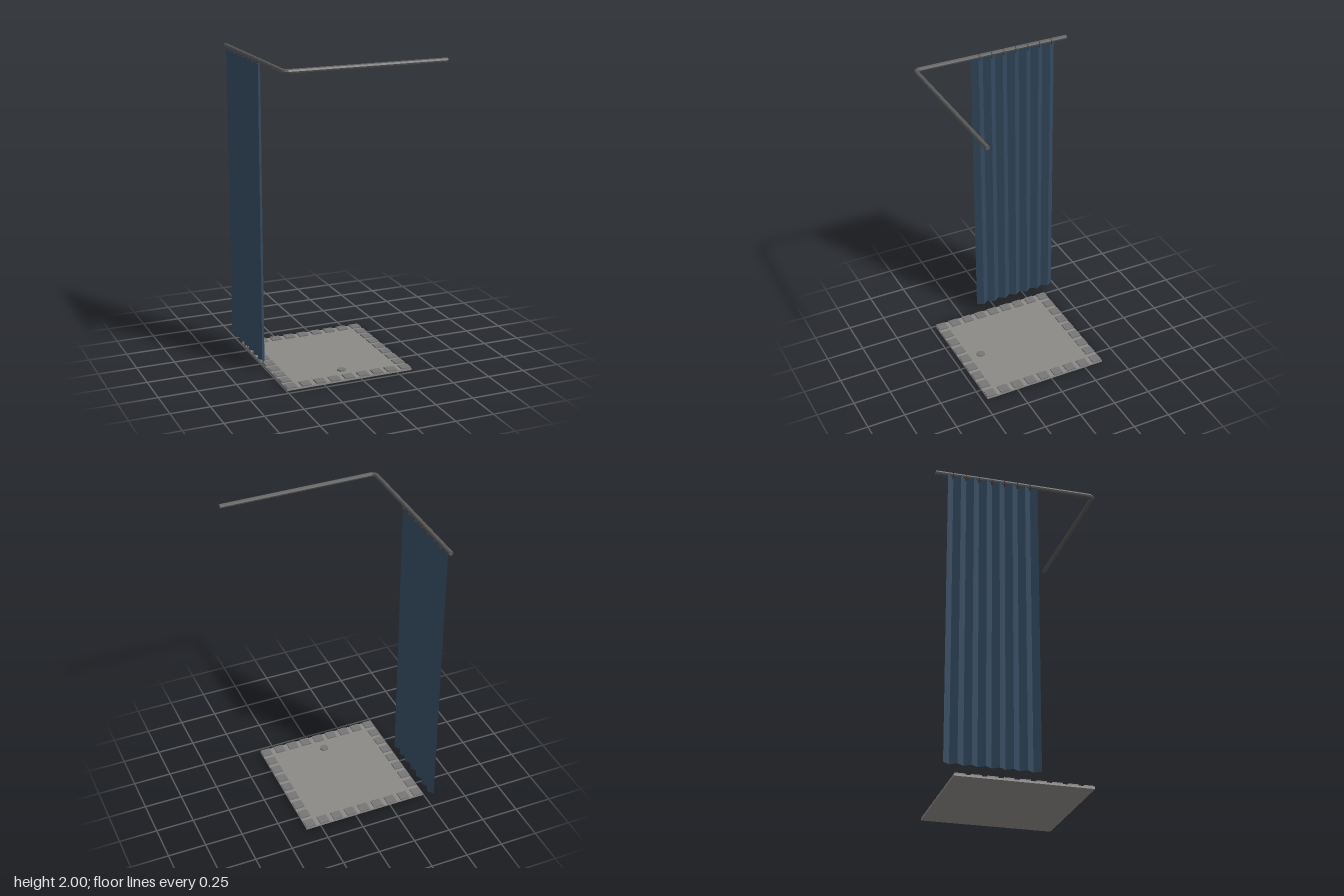
import * as THREE from 'three';

const mat = (color, opts = {}) => new THREE.MeshStandardMaterial({ color, flatShading: true, ...opts });

export function createModel() {
  const model = new THREE.Group();
  const trayMat = mat(0x8c8a87);
  const tileMat = mat(0x767676);
  const rodMat = mat(0x5a5a5a);
  const ringMat = mat(0x4a3c38);
  const curtainMat = mat(0x34495e, { side: THREE.DoubleSide });

  const add = (name, geometry, material, x = 0, y = 0, z = 0, parent = model) => {
    const mesh = new THREE.Mesh(geometry, material);
    mesh.name = name;
    mesh.position.set(x, y, z);
    parent.add(mesh);
    return mesh;
  };

  // Square shower tray
  const cx = -0.072, cz = 0.043, size = 0.845;
  add('tray', new THREE.BoxGeometry(size, 0.012, size), trayMat, cx, 0.006, cz);

  // Border of raised tiles, nine along each side
  const tiles = new THREE.Group();
  tiles.name = 'borderTiles';
  model.add(tiles);
  const tileGeo = new THREE.BoxGeometry(0.065, 0.012, 0.065);
  const step = 0.097;
  for (let i = -4; i <= 4; i++) {
    for (let j = -4; j <= 4; j++) {
      if (Math.max(Math.abs(i), Math.abs(j)) < 4) continue;
      add('borderTile', tileGeo, tileMat, cx + i * step, 0.014, cz + j * step, tiles);
    }
  }

  // Hexagonal drain
  const drain = add('drain', new THREE.CylinderGeometry(0.03, 0.03, 0.012, 6), tileMat, -0.071, 0.014, 0.318);
  drain.rotation.y = Math.PI / 6 + Math.PI / 3;

  // L-shaped curtain rod with a small bend at the corner
  const rodX = -0.513, rodZ = 0.513, rodY = 1.985, rodR = 0.0145, bend = 0.035;
  const p = (x, z) => new THREE.Vector3(x, rodY, z);
  const path = new THREE.CurvePath();
  path.add(new THREE.LineCurve3(p(rodX, -0.53), p(rodX, rodZ - bend)));
  path.add(new THREE.QuadraticBezierCurve3(p(rodX, rodZ - bend), p(rodX, rodZ), p(rodX + bend, rodZ)));
  path.add(new THREE.LineCurve3(p(rodX + bend, rodZ), p(0.53, rodZ)));
  add('curtainRod', new THREE.TubeGeometry(path, 120, rodR, 8, false), rodMat);
  const capGeo = new THREE.CircleGeometry(rodR, 8);
  add('rodEndCap', capGeo, rodMat, rodX, rodY, -0.53).rotation.y = Math.PI;
  add('rodEndCap', capGeo, rodMat, 0.53, rodY, rodZ).rotation.y = Math.PI / 2;

  // Pleated curtain: a zigzag strip between top and bottom edges
  const folds = 14, zBack = -0.455, zFront = 0.13, pleat = (zFront - zBack) / folds;
  const curtainGeo = new THREE.PlaneGeometry(zFront - zBack, 1.915, folds, 1);
  curtainGeo.rotateY(Math.PI / 2);
  const pos = curtainGeo.attributes.position;
  for (let i = 0; i < pos.count; i++) {
    const column = i % (folds + 1);
    pos.setX(i, column % 2 ? 0.015 : -0.015);
  }
  curtainGeo.computeVertexNormals();
  add('curtain', curtainGeo, curtainMat, -0.52, 1.0175, (zBack + zFront) / 2);

  // Rings around the rod, one at each inner pleat
  const ringGeo = new THREE.TorusGeometry(0.019, 0.003, 6, 16);
  for (let k = 1; k < folds; k += 2) {
    add('curtainRing', ringGeo, ringMat, rodX, 1.978, zBack + k * pleat - 0.005);
  }

  return model;
}
